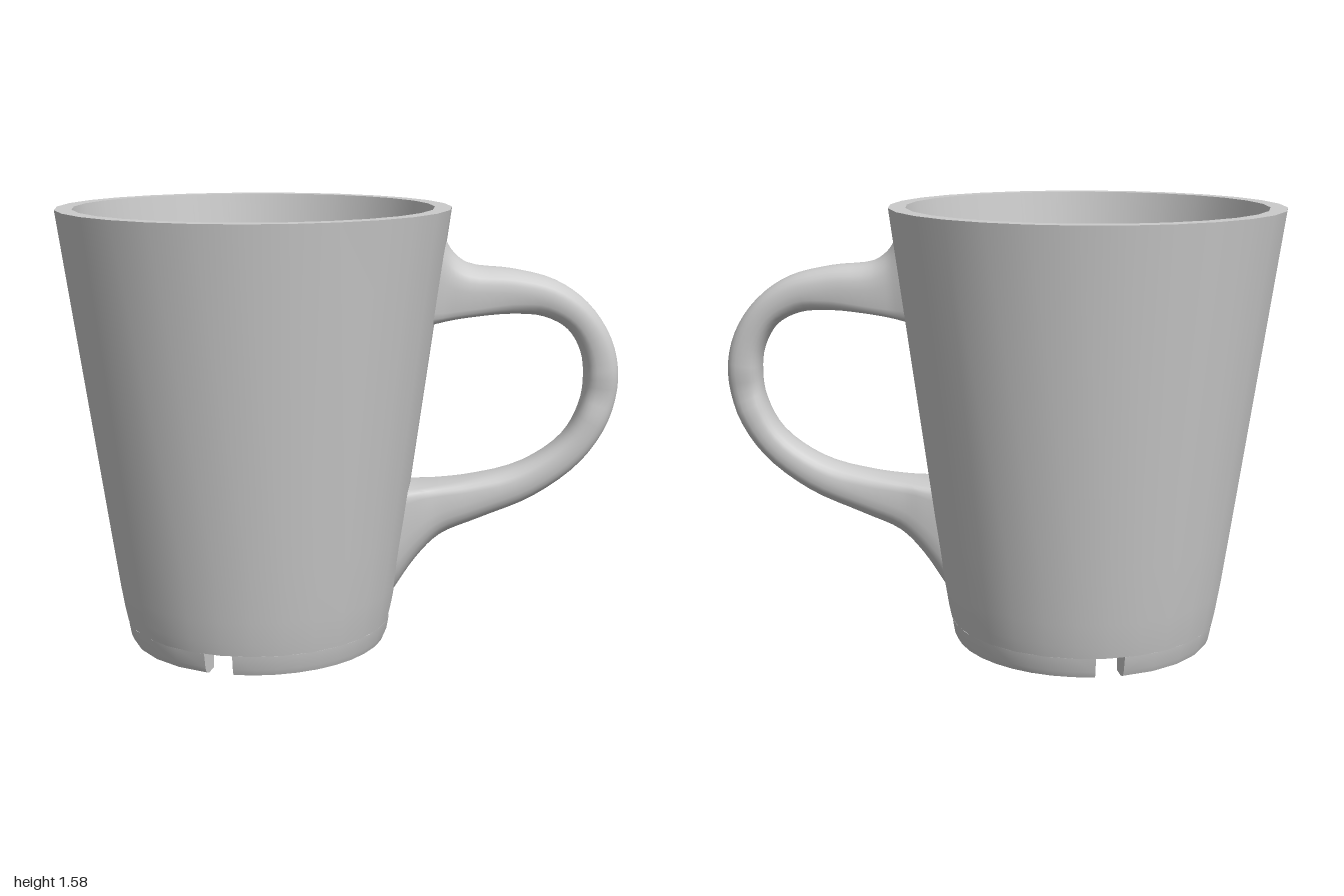
import * as THREE from 'three';
import { toCreasedNormals } from 'three/addons/utils/BufferGeometryUtils.js';

const material = new THREE.MeshStandardMaterial({ color: 0xcccccc, side: THREE.DoubleSide });
const CUP_X = -0.305;
const FOOT = 0.082; // height of the foot ring and its notches
const SEGMENTS = 28;
const rad = THREE.MathUtils.degToRad;
const toPoints = (list) => list.map(([x, y]) => new THREE.Vector2(x, y));

function addMesh(parent, name, geometry) {
  const mesh = new THREE.Mesh(geometry, material);
  mesh.name = name;
  parent.add(mesh);
  return mesh;
}

// Tapered cup: underside, outer wall, flat rim, inner wall and floor
function cupGeometry() {
  const profile = toPoints([
    [0, FOOT], [0.484, FOOT], [0.494, 0.13], [0.507, 0.21], [0.535, 0.41],
    [0.695, 1.575], [0.635, 1.575], [0.43, 0.16], [0, 0.16],
  ]);
  return toCreasedNormals(new THREE.LatheGeometry(profile, SEGMENTS), 0.6);
}

// Foot ring in three arcs, leaving notches under the handle, at the front and at the back
function buildFoot() {
  const foot = new THREE.Group();
  foot.name = 'footRing';
  const profile = toPoints([
    [0.4, FOOT], [0.405, 0.005], [0.445, 0], [0.466, 0.008], [0.475, 0.03], [0.484, FOOT],
  ]);
  const endFace = new THREE.ShapeGeometry(new THREE.Shape(profile));
  const notches = [-14, 90, 194, 346];
  const half = 6;
  for (let i = 0; i < 3; i++) {
    const start = rad(notches[i] + half);
    const end = rad(notches[i + 1] - half);
    const arc = new THREE.LatheGeometry(profile, 10, start, end - start);
    addMesh(foot, 'footArc', toCreasedNormals(arc, 0.8));
    for (const angle of [start, end]) {
      addMesh(foot, 'notchSide', endFace).rotation.y = angle - Math.PI / 2;
    }
  }
  return foot;
}

// Handle lofted through sections: outer x, y, inner x, y, half width
function handleGeometry() {
  const sections = [
    [0.345, 1.52, 0.31, 1.165, 0.125],
    [0.39, 1.425, 0.37, 1.178, 0.108],
    [0.45, 1.378, 0.45, 1.19, 0.1],
    [0.61, 1.357, 0.6, 1.2, 0.086],
    [0.76, 1.318, 0.72, 1.188, 0.079],
    [0.88, 1.235, 0.81, 1.14, 0.074],
    [0.965, 1.11, 0.86, 1.055, 0.071],
    [0.995, 0.965, 0.872, 0.965, 0.07],
    [0.965, 0.81, 0.858, 0.865, 0.07],
    [0.87, 0.66, 0.8, 0.755, 0.071],
    [0.7, 0.53, 0.66, 0.655, 0.076],
    [0.5, 0.445, 0.46, 0.597, 0.086],
    [0.36, 0.385, 0.34, 0.578, 0.098],
    [0.275, 0.3, 0.28, 0.572, 0.112],
    [0.185, 0.165, 0.215, 0.57, 0.125],
  ];
  const curve = (pick) => new THREE.CatmullRomCurve3(sections.map(pick));
  const outer = curve(([x, y]) => new THREE.Vector3(x, y, 0));
  const inner = curve(([, , x, y]) => new THREE.Vector3(x, y, 0));
  const width = curve((s) => new THREE.Vector3(s[4], 0, 0));

  const rows = 56, sides = 24;
  const positions = [], indices = [];
  const power = (v, e) => Math.sign(v) * Math.pow(Math.abs(v), e);
  for (let r = 0; r <= rows; r++) {
    const o = outer.getPoint(r / rows);
    const n = inner.getPoint(r / rows);
    const w = width.getPoint(r / rows).x;
    // The inner side grows squarer toward the cup
    const square = 2.6 + Math.min(1, Math.max(0, (w - 0.08) / 0.03)) * 6;
    for (let s = 0; s < sides; s++) {
      const a = (s / sides) * Math.PI * 2;
      const e = 2 / (Math.sin(a) < 0 ? square : 2.5);
      const across = power(Math.cos(a), e);
      const outward = power(Math.sin(a), e);
      const p = n.clone().lerp(o, (outward + 1) / 2);
      positions.push(p.x, p.y, across * w);
      if (r < rows) {
        const i = r * sides + s, j = r * sides + ((s + 1) % sides);
        indices.push(i, i + sides, j, j, i + sides, j + sides);
      }
    }
  }
  const geometry = new THREE.BufferGeometry();
  geometry.setAttribute('position', new THREE.Float32BufferAttribute(positions, 3));
  geometry.setIndex(indices);
  return toCreasedNormals(geometry, 0.8);
}

export function createModel() {
  const model = new THREE.Group();
  model.name = 'mug';
  addMesh(model, 'cup', cupGeometry()).position.x = CUP_X;
  const foot = buildFoot();
  foot.position.x = CUP_X;
  model.add(foot);
  addMesh(model, 'handle', handleGeometry());
  return model;
}
